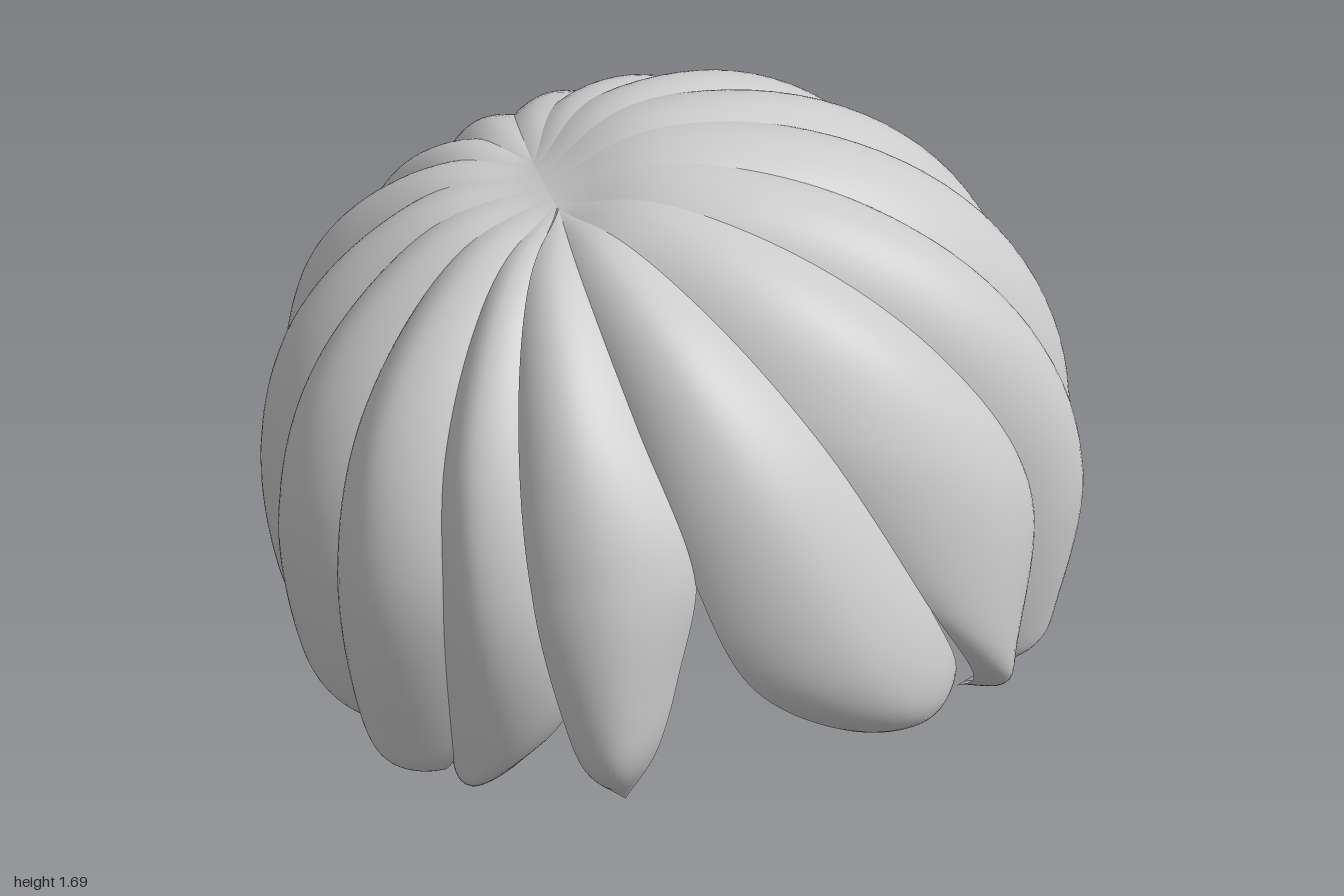
import * as THREE from 'three';

// The hair follows an ellipsoid; points are handled as unit-sphere directions and scaled at the end.
const CENTER = new THREE.Vector3(0, 0.75, 0);
const RADII = new THREE.Vector3(1, 0.95, 0.96);
const SEAM = 0.95;    // radius of the grooves between locks
const toUnit = (x, y, z) => new THREE.Vector3(x, y, z).sub(CENTER).divide(RADII);
const { lerp, smoothstep } = THREE.MathUtils;

// Groove point at an azimuth (0 = back, 90 = +x, 180 = front) and a height
function around(deg, y) {
  const a = THREE.MathUtils.degToRad(deg);
  const ny = (y - CENTER.y) / (RADII.y * SEAM);
  const r = Math.sqrt(1 - ny * ny);
  return new THREE.Vector3(r * Math.sin(a), ny, -r * Math.cos(a)).multiplyScalar(SEAM);
}

// Edge point on the front, given x and y
function onFront(x, y, radius = SEAM) {
  const p = new THREE.Vector3(x, (y - CENTER.y) / RADII.y, 0);
  p.z = Math.sqrt(radius * radius - p.lengthSq());
  return p;
}

// Point between two directions, keeping to the round shell
function between(a, b, f) {
  return a.clone().lerp(b, f).setLength(lerp(a.length(), b.length(), f));
}

// Arc between two directions at a constant angular speed
function arc(a, b, f) {
  const angle = a.angleTo(b);
  return a.clone().normalize().multiplyScalar(Math.sin((1 - f) * angle))
    .addScaledVector(b.clone().normalize(), Math.sin(f * angle)).setLength(SEAM);
}

// One side of a lock: from the short crown line, over the head, past the notch, to the tip.
// It bows away from the opposite notch; grooves are shallow on top, with a dimple at the crown.
function edgeCurve([side, notch], oppositeNotch, tip) {
  const start = toUnit(-0.3, 1.575, 0.01 + 0.14 * side.z);
  const bow = between(notch, tip, 0.5);
  const bowLength = bow.length() + 0.015;
  bow.addScaledVector(notch.clone().sub(oppositeNotch), 0.06).setLength(bowLength);
  const curve = new THREE.CatmullRomCurve3([
    start, arc(start, side, 1 / 3), arc(start, side, 2 / 3), side, notch, bow, tip,
  ]);
  return (t) => {
    const p = curve.getPoint(t);
    if (t > 0.5) return p;
    const dimple = 0.07 * Math.exp(-((p.angleTo(start) / 0.18) ** 2));
    return p.setLength(lerp(0.993, side.length(), t / 0.5) - dimple);
  };
}

// A lock is a domed outer skin and a shallower inner skin between two edges
function lockGeometry(edgeA, edgeB, tip, bulge) {
  const rows = 60, cols = 18;
  const a = edgeCurve(edgeA, edgeB[1], tip), b = edgeCurve(edgeB, edgeA[1], tip);
  const positions = [], index = [];
  for (const outer of [true, false]) {
    const start = positions.length / 3;
    for (let i = 0; i <= rows; i++) {
      const t = i / rows;
      const pa = a(t), pb = b(t);
      const swell = smoothstep(t, 0, 0.38) * (1 - smoothstep(t, 0.72, 1) ** 1.5);
      for (let j = 0; j <= cols; j++) {
        const s = (j / cols) * 2 - 1;
        const p = between(pa, pb, 0.5 + s * 0.53);
        const dome = 1 - Math.pow(Math.abs(s), 1.8);
        p.setLength(p.length() + (outer ? bulge : 0.3 * bulge) * dome * swell);
        p.multiply(RADII).add(CENTER);
        positions.push(p.x, p.y, p.z);
      }
    }
    for (let i = 0; i < rows; i++) {
      for (let j = 0; j < cols; j++) {
        const p = start + i * (cols + 1) + j, q = p + 1;
        const r = p + cols + 1, u = r + 1;
        if (outer) index.push(p, q, u, p, u, r);
        else index.push(p, u, q, p, r, u);
      }
    }
  }
  const g = new THREE.BufferGeometry();
  g.setAttribute('position', new THREE.Float32BufferAttribute(positions, 3));
  g.setIndex(index);
  g.computeVertexNormals();
  return g;
}

export function createModel() {
  const model = new THREE.Group();
  model.name = 'hair';
  const hairGrey = new THREE.MeshStandardMaterial({ color: 0xcbcbcb });
  hairGrey.name = 'hairGrey';

  function addLock(name, edgeA, edgeB, tip, bulge = 0.06) {
    const mesh = new THREE.Mesh(lockGeometry(edgeA, edgeB, toUnit(...tip), bulge), hairGrey);
    mesh.name = name;
    model.add(mesh);
  }

  // Grooves from the back round to the temple: [azimuth, notch azimuth, notch height]
  const grooves = [
    [0, 0, 0.2], [24, 16, 0.14], [45, 43, 0.43], [68, 70, 0.55],
    [90, 90, 0.67], [111, 111, 0.57], [132, 130, 0.45],
  ];
  const groove = (i, m) => {
    const [side, notch, y] = grooves[i];
    return [around(m * side, 0.9), around(m * notch, y)];
  };

  // Back and side locks, the same on both sides: name, tip, bulge
  const locks = [
    ['backLock', [0.05, 0.01, -0.52], 0.07],
    ['backOuterLock', [0.14, 0, -0.48], 0.07],
    ['backSideLock', [0.54, 0.08, -0.22], 0.08],
    ['rearSideLock', [0.74, 0.2, -0.15], 0.06],
    ['sideLock', [0.74, 0.2, 0.18], 0.06],
    ['templeLock', [0.71, 0.26, 0.39], 0.08],
  ];
  locks.forEach(([name, [x, y, z], bulge], i) => {
    addLock(name + 'Left', groove(i, 1), groove(i + 1, 1), [x, y, z], bulge);
    addLock(name + 'Right', groove(i + 1, -1), groove(i, -1), [-x, y, z], bulge);
  });

  // Fringe: four locks swept from the crown; the short one stands proud of its neighbour
  const leftPart = onFront(0.12, 1.25);
  const middlePart = onFront(-0.2, 1.07);
  const shortOuter = [onFront(-0.53, 1.02, 1.01), onFront(-0.49, 0.72, 1.03)];
  const rightPart = [onFront(-0.51, 1.02), onFront(-0.47, 0.72)];
  addLock('fringeOuterLeft', groove(6, 1), [leftPart, onFront(0.38, 0.8)], [0.61, 0.25, 0.46]);
  addLock('fringeSweep', [leftPart, onFront(0.36, 0.8)], [middlePart, onFront(-0.07, 0.76)], [0.46, 0.36, 0.65], 0.07);
  addLock('fringeShort', [middlePart, onFront(-0.25, 0.8)], shortOuter, [-0.35, 0.43, 0.82], 0.07);
  addLock('fringeOuterRight', rightPart, groove(6, -1), [-0.61, 0.25, 0.46]);

  return model;
}
